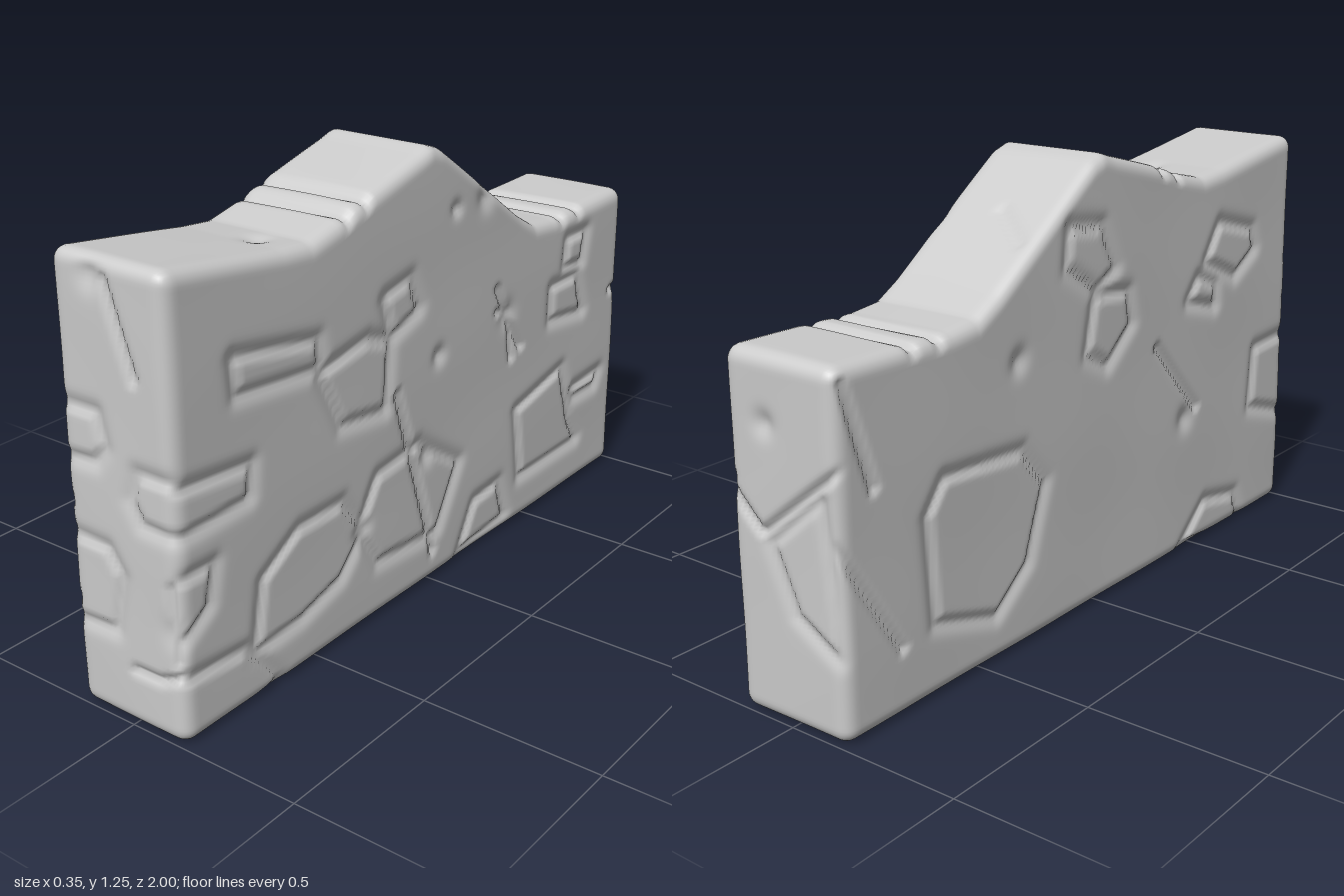
import * as THREE from 'three';
import { mergeVertices } from 'three/addons/utils/BufferGeometryUtils.js';

const WIDTH = 0.355, RADIUS = 0.04;

// top outline of the wall as [z, height], from back to front
const TOP = [[-1, 0.92], [-0.8, 0.915], [-0.6, 0.91], [-0.5, 0.92], [-0.42, 0.965], [-0.03, 1.235],
  [0.015, 1.25], [0.06, 1.235], [0.27, 1.18], [0.4, 1.14], [0.5, 1.117], [0.6, 1.125], [1, 1.18]];
// grooves running across the top
const TOP_GROOVES = [0.365, 0.29, -0.645, -0.735];

// outlined stones and open cracks of each face; sides use [z, y], ends use [x, y]
const LEFT = {
  stones: [
    [[0.74, 0.14], [0.71, 0.32], [0.57, 0.4], [0.4, 0.4], [0.31, 0.29], [0.41, 0.19], [0.57, 0.15]],
    [[0.33, 0.29], [0.25, 0.42], [0.07, 0.44], [-0.12, 0.32], [-0.02, 0.15], [0.25, 0.17]],
    [[-0.42, 0.37], [-0.67, 0.42], [-0.73, 0.23], [-0.78, 0.15], [-0.45, 0.15]],
    [[-0.14, 0.03], [-0.21, 0.16], [-0.33, 0.17], [-0.37, 0.05]],
    [[0.48, 0.78], [0.29, 0.81], [0.2, 0.78], [0.22, 0.6], [0.4, 0.62]],
    [[0.22, 0.9], [0.11, 0.92], [0.07, 0.83], [0.19, 0.79]],
    [[0.79, 0.92], [0.49, 0.87], [0.48, 0.8], [0.78, 0.83]],
    [[1.05, 0.67], [0.74, 0.64], [0.75, 0.56], [1.05, 0.55]],
    [[1.05, 0.44], [0.88, 0.44], [0.9, 0.34], [1.05, 0.24]],
    [[1.05, 0.18], [0.78, 0.16], [0.66, 0.02], [1.05, -0.1]],
    [[-0.6, 0.7], [-0.74, 0.7], [-0.78, 0.58], [-0.6, 0.6]],
    [[-0.68, 0.83], [-0.78, 0.83], [-0.76, 0.74], [-0.67, 0.75]],
    [[-0.75, 0.33], [-0.9, 0.34], [-0.88, 0.3], [-0.76, 0.3]],
  ],
  cracks: [[[0.17, 0.62], [0.08, 0.35], [0, 0.09]], [[-0.3, 0.78], [-0.35, 0.69], [-0.43, 0.57]],
    [[-0.3, 0.71], [-0.36, 0.7], [-0.38, 0.55]], [[-0.95, 0.6], [-1.05, 0.6]]],
  chips: [[0.03, 0.4, 0.03], [-0.23, 1.06, 0.035], [-0.09, 1.06, 0.02], [-0.35, 0.69, 0.035], [-0.02, 0.67, 0.025]],
};
const RIGHT = {
  stones: [
    [[-0.68, 0.2], [-0.7, 0.48], [-0.64, 0.56], [-0.34, 0.54], [-0.25, 0.43], [-0.32, 0.23], [-0.45, 0.13]],
    [[-0.14, 1.08], [0, 1.06], [0.06, 0.94], [-0.03, 0.9], [-0.15, 0.98]],
    [[-0.06, 0.73], [-0.03, 0.88], [0.12, 0.86], [0.14, 0.77], [0.03, 0.68]],
    [[0.52, 0.87], [0.59, 0.97], [0.77, 0.92], [0.79, 0.86], [0.68, 0.8]],
    [[0.43, 0.77], [0.48, 0.83], [0.57, 0.79], [0.57, 0.73]],
    [[0.8, 0.36], [0.82, 0.54], [1.05, 0.55], [1.05, 0.28]],
    [[0.43, 0.02], [0.55, 0.12], [0.72, 0.09], [0.77, -0.03]],
  ],
  cracks: [[[-0.97, 0.88], [-0.88, 0.61]], [[0.27, 0.67], [0.48, 0.44]], [[-1, 0.5], [-0.8, 0.18]]],
  chips: [[-0.35, 0.78, 0.03], [0.42, 0.42, 0.035]],
};
const FRONT = {
  stones: [
    [[-0.25, 0.8], [-0.06, 0.8], [-0.04, 0.72], [-0.07, 0.68], [-0.25, 0.67]],
    [[-0.25, 0.47], [-0.05, 0.46], [-0.01, 0.4], [-0.04, 0.25], [-0.25, 0.24]],
    [[0.25, 0.68], [0.06, 0.68], [0.04, 0.61], [0.07, 0.56], [0.25, 0.55]],
  ],
  cracks: [[[-0.01, 1.13], [0.07, 0.91]], [[0.02, 0.16], [0.1, 0.16], [0.2, 0.2]], [[0.15, 0.42], [0.16, 0.22]]],
  chips: [[0.165, 0.3, 0.04], [-0.05, 1.13, 0.035]],
};
const BACK = {
  stones: [[[0.04, 0.46], [-0.12, 0.6], [-0.17, 0.22], [-0.03, 0.3]]],
  cracks: [[[0.2, 0.6], [0.07, 0.48], [-0.1, 0.62], [-0.2, 0.7]]],
  chips: [[0.05, 0.75, 0.03]],
};

const clamp = THREE.MathUtils.clamp;
const bump = (d, w) => Math.exp(-((d / w) ** 2));

function topHeight(z) {
  let i = 1;
  while (i < TOP.length - 1 && z > TOP[i][0]) i++;
  const [a, b] = [TOP[i - 1], TOP[i]];
  return a[1] + (b[1] - a[1]) * clamp((z - a[0]) / (b[0] - a[0]), 0, 1);
}

function lineDistance(u, v, pts, closed) {
  let best = Infinity;
  for (let i = closed ? 0 : 1; i < pts.length; i++) {
    const [au, av] = pts[(i + pts.length - 1) % pts.length], [bu, bv] = pts[i];
    const du = bu - au, dv = bv - av;
    const t = clamp(((u - au) * du + (v - av) * dv) / (du * du + dv * dv), 0, 1);
    best = Math.min(best, Math.hypot(u - au - du * t, v - av - dv * t));
  }
  return best;
}

function inside(u, v, pts) {
  let hit = false;
  pts.forEach(([au, av], i) => {
    const [bu, bv] = pts[(i + 1) % pts.length];
    if ((av > v) !== (bv > v) && u < au + ((v - av) * (bu - au)) / (bv - av)) hit = !hit;
  });
  return hit;
}

// carved depth: a sharp step round each stone that fades outward, thin cracks and small pits
function carve(u, v, face) {
  let depth = 0;
  for (const s of face.stones) {
    const w = inside(u, v, s) ? 0.011 : 0.024;
    depth = Math.max(depth, 0.012 * bump(lineDistance(u, v, s, true), w));
  }
  for (const c of face.cracks) depth = Math.max(depth, 0.015 * bump(lineDistance(u, v, c, false), 0.012));
  for (const [cu, cv, r] of face.chips) depth = Math.max(depth, 0.014 * bump(Math.hypot(u - cu, v - cv), r));
  return depth;
}

// finely divided block, rounded, fitted to the top outline, then carved
function wallGeometry() {
  let geo = new THREE.BoxGeometry(WIDTH, 1, 2, 28, 100, 160);
  geo.deleteAttribute('normal');
  geo.deleteAttribute('uv');
  geo = mergeVertices(geo);
  const pos = geo.attributes.position;
  const p = new THREE.Vector3(), core = new THREE.Vector3(), n = new THREE.Vector3();
  const limit = new THREE.Vector3(WIDTH / 2 - RADIUS, 0.5 - RADIUS, 1 - RADIUS);
  const low = limit.clone().negate();
  for (let i = 0; i < pos.count; i++) {
    p.fromBufferAttribute(pos, i);
    core.copy(p).clamp(low, limit);
    n.subVectors(p, core).normalize();
    p.copy(core).addScaledVector(n, RADIUS);
    p.y += 0.5;
    const { x, z } = p;
    // lift or lower the upper part to the outline
    p.y += (topHeight(z) - 1) * clamp((p.y - 0.05) / 0.9, 0, 1);
    const y = p.y;
    let depth = n.x * n.x * carve(z, y, n.x > 0 ? LEFT : RIGHT)
      + n.z * n.z * carve(x, y, n.z > 0 ? FRONT : BACK);
    if (n.y > 0) {
      for (const g of TOP_GROOVES) depth += n.y * 0.02 * bump(z - g + 0.03 * x, 0.014);
      depth += n.y * 0.012 * bump(Math.hypot(x - 0.05, z - 0.56), 0.03);
      depth += n.y * 0.01 * bump(lineDistance(x, z, [[-0.12, -0.28], [0, -0.2]], false), 0.014);
    }
    // slight unevenness of worn stone
    depth += 0.0015 * (1 + Math.sin(7 * z + 5 * y) * Math.cos(9 * y - 4 * z + 11 * x));
    p.addScaledVector(n, -depth);
    pos.setXYZ(i, p.x - 0.0025, Math.max(p.y, 0), p.z);
  }
  geo.computeVertexNormals();
  return geo;
}

export function createModel() {
  const group = new THREE.Group();
  group.name = 'stoneWall';
  const wall = new THREE.Mesh(wallGeometry(), new THREE.MeshStandardMaterial({ color: 0xcccccc }));
  wall.name = 'carvedWallBlock';
  group.add(wall);
  return group;
}
